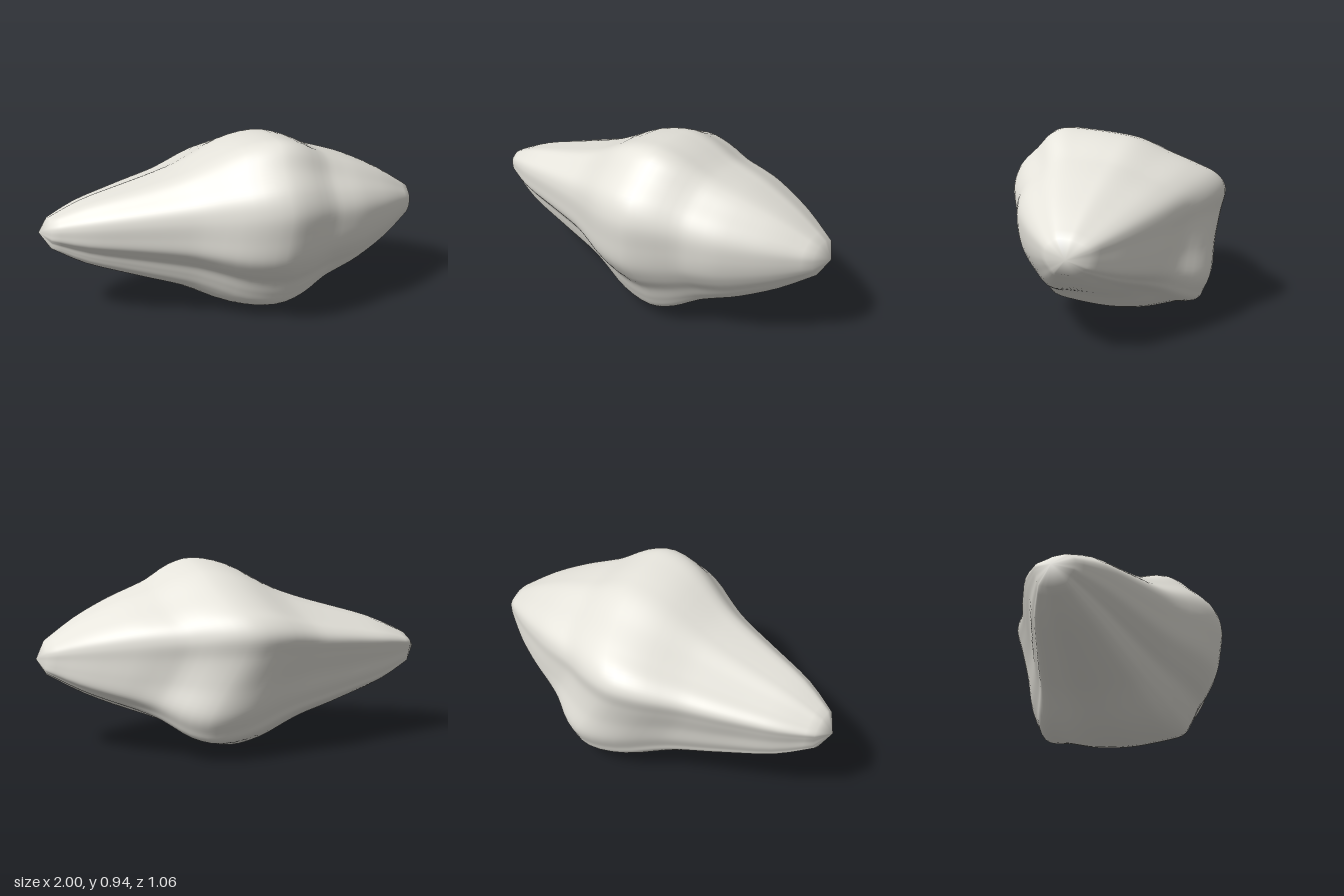
import * as THREE from 'three';

// Widest outline of the stone, seen from its end. Each line along the stone has
// [z, y, x where it peaks, fullness towards the -x tip, fullness towards the +x tip]
const OUTLINE = [
  [0, 0.92, 0.14, 0.93, 1.02], [0.15, 0.937, 0.15, 0.92, 1], [0.26, 0.942, 0.16, 0.92, 0.97],
  [0.33, 0.915, 0.16, 0.94, 0.97], [0.4, 0.845, 0.15, 0.97, 1.01], [0.49, 0.755, 0.15, 0.99, 1.04],
  [0.527, 0.65, 0.16, 0.99, 1.07], [0.517, 0.52, 0.15, 0.99, 1.1], [0.495, 0.4, 0.14, 0.99, 1.1],
  [0.445, 0.31, 0.16, 0.97, 1.1], [0.385, 0.235, 0.18, 0.97, 1.1], [0.345, 0.155, 0.18, 0.99, 1.06],
  [0.3, 0.085, 0.17, 1.01, 0.99], [0.21, 0.04, 0.11, 1.03, 0.93], [0.03, 0.002, 0.05, 1.04, 0.9],
  [-0.15, 0.012, 0.04, 1.06, 0.9], [-0.32, 0.065, 0.08, 1.06, 0.88], [-0.43, 0.1, 0.15, 1.04, 0.85],
  [-0.465, 0.155, 0.17, 1.03, 0.87], [-0.497, 0.24, 0.16, 1.03, 0.94], [-0.497, 0.38, 0.08, 1.05, 1.03],
  [-0.51, 0.52, 0, 1.08, 1.06], [-0.528, 0.63, -0.03, 1.08, 1.05], [-0.485, 0.71, 0, 1.05, 1.07],
  [-0.39, 0.77, 0.06, 1, 1.08], [-0.26, 0.83, 0.1, 0.97, 1.07], [-0.12, 0.895, 0.13, 0.95, 1.04],
];

// Swelling along the length: [position from tip to tip, share of full width]
const SWELL = [
  [-0.95, 0.175], [-0.8, 0.355], [-0.6, 0.51], [-0.4, 0.66], [-0.3, 0.76], [-0.15, 0.93],
  [0, 1], [0.15, 0.935], [0.3, 0.79], [0.4, 0.72], [0.55, 0.615], [0.76, 0.42], [0.95, 0.185],
];

const TIP_Y = 0.475, TIP_Z = -0.02;

function createStoneGeometry(rings = 36, sides = 162) {
  const outline = new THREE.CatmullRomCurve3(
    OUTLINE.map(([z, y, peak]) => new THREE.Vector3(peak, y, z)), true, 'catmullrom');
  const fullness = new THREE.CatmullRomCurve3(
    OUTLINE.map(([, , , left, right]) => new THREE.Vector3(left, right, 0)), true, 'catmullrom');
  const swell = new THREE.SplineCurve(SWELL.map(([u, f]) => new THREE.Vector2(u, f)));
  const section = outline.getPoints(sides).slice(0, sides);
  const ends = fullness.getPoints(sides);

  // Rings between the two tips, each line shifted so it peaks at its own x
  const positions = [-1, TIP_Y, TIP_Z];
  for (let i = 0; i <= rings; i++) {
    const { x: u, y: f } = swell.getPoint(i / rings);
    const blend = THREE.MathUtils.smoothstep(Math.abs(u), 0.1, 0.55);
    section.forEach((p, j) => {
      const x = p.x + u * (u < 0 ? 1 + p.x : 1 - p.x);
      const s = f * THREE.MathUtils.lerp(1, u < 0 ? ends[j].x : ends[j].y, blend);
      positions.push(x, TIP_Y + (p.y - TIP_Y) * s, TIP_Z + (p.z - TIP_Z) * s);
    });
  }
  positions.push(1, TIP_Y, TIP_Z);

  const id = (i, j) => 1 + i * sides + (j % sides);
  const lastTip = positions.length / 3 - 1;
  const index = [];
  for (let j = 0; j < sides; j++) {
    index.push(0, id(0, j + 1), id(0, j));
    for (let i = 0; i < rings; i++) {
      index.push(id(i, j), id(i, j + 1), id(i + 1, j));
      index.push(id(i, j + 1), id(i + 1, j + 1), id(i + 1, j));
    }
    index.push(id(rings, j), id(rings, j + 1), lastTip);
  }

  const geometry = new THREE.BufferGeometry();
  geometry.setAttribute('position', new THREE.Float32BufferAttribute(positions, 3));
  geometry.setIndex(index);
  geometry.computeVertexNormals();
  return geometry;
}

export function createModel() {
  const group = new THREE.Group();
  group.name = 'rock';
  const stone = new THREE.Mesh(createStoneGeometry(), new THREE.MeshStandardMaterial({ color: 0xe6e4dc }));
  stone.name = 'stone';
  group.add(stone);
  return group;
}
